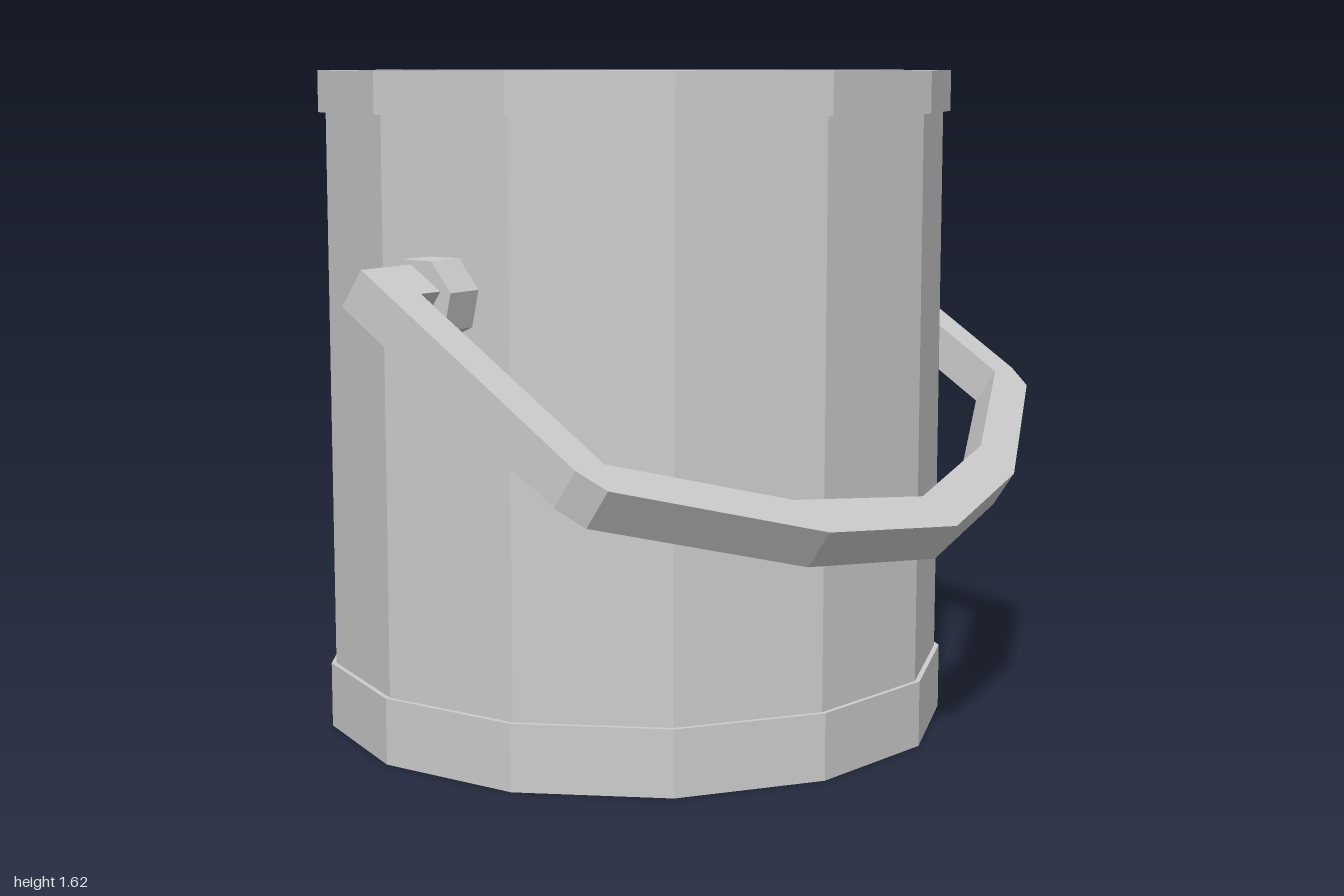
import * as THREE from 'three';

const SIDES = 13;
const AXIS_X = -0.07;

const material = () => new THREE.MeshStandardMaterial({ color: 0xcccccc, flatShading: true });

export function createModel() {
  const group = new THREE.Group();
  group.name = 'bucket';

  const add = (name, geometry) => {
    const mesh = new THREE.Mesh(geometry, material());
    mesh.name = name;
    group.add(mesh);
    return mesh;
  };

  // Faceted ring or shell turned around the bucket's axis, from [radius, height] pairs
  const turned = (name, profile) => {
    const points = profile.map(([r, y]) => new THREE.Vector2(r, y));
    const mesh = add(name, new THREE.LatheGeometry(points, SIDES));
    mesh.rotation.y = Math.PI;
    mesh.position.set(AXIS_X, 0, -0.005);
    return mesh;
  };

  // Outer wall, and the inside: wall, then floor
  turned('wall', [[0.765, 0.1], [0.765, 1.56]]);
  turned('innerWall', [[0.72, 1.6], [0.665, 1.6], [0.665, 1.3]]);
  turned('insideFloor', [[0.665, 1.3], [0, 1.3]]);

  // Bands at the foot and the lip
  turned('baseBand', [[0, 0], [0.777, 0], [0.777, 0.16], [0.765, 0.16]]);
  turned('rimBand', [[0.765, 1.52], [0.783, 1.52], [0.783, 1.62], [0.72, 1.62], [0.72, 1.6]]);

  // Seven-sided pivot bosses on the front and back
  for (const [name, side] of [['frontPivot', 1], ['backPivot', -1]]) {
    const boss = new THREE.CylinderGeometry(0.1, 0.1, 0.135, 7);
    boss.rotateX(Math.PI / 2);
    const mesh = add(name, boss);
    mesh.position.set(AXIS_X, 1.115, side * 0.7675);
  }

  // Handle: half outline (distance along the arm, z), mirrored across z = 0
  const outer = [[0, 0.78], [0, 1], [0.69, 1], [0.763, 0.97], [1.027, 0.45]];
  const inner = [[0.915, 0.45], [0.69, 0.9], [0.1, 0.9], [0.1, 0.78]];
  const mirror = (half) => half.map(([u, z]) => [u, -z]).reverse();
  const outline = [...outer, [1.118, 0], ...mirror(outer), ...mirror(inner), [1.009, 0], ...inner];
  const shape = new THREE.Shape(outline.map(([u, z]) => new THREE.Vector2(u, z)));
  const handle = new THREE.ExtrudeGeometry(shape, { depth: 0.101, bevelEnabled: false });

  // Tilt the handle so that it hangs down to the side
  const along = new THREE.Vector3(0.832, -0.555, 0).normalize();
  const across = new THREE.Vector3(0, 0, 1);
  const normal = new THREE.Vector3().crossVectors(along, across);
  handle.applyMatrix4(new THREE.Matrix4().makeBasis(along, across, normal));
  add('handle', handle).position.set(-0.085, 1.195, 0);

  return group;
}
